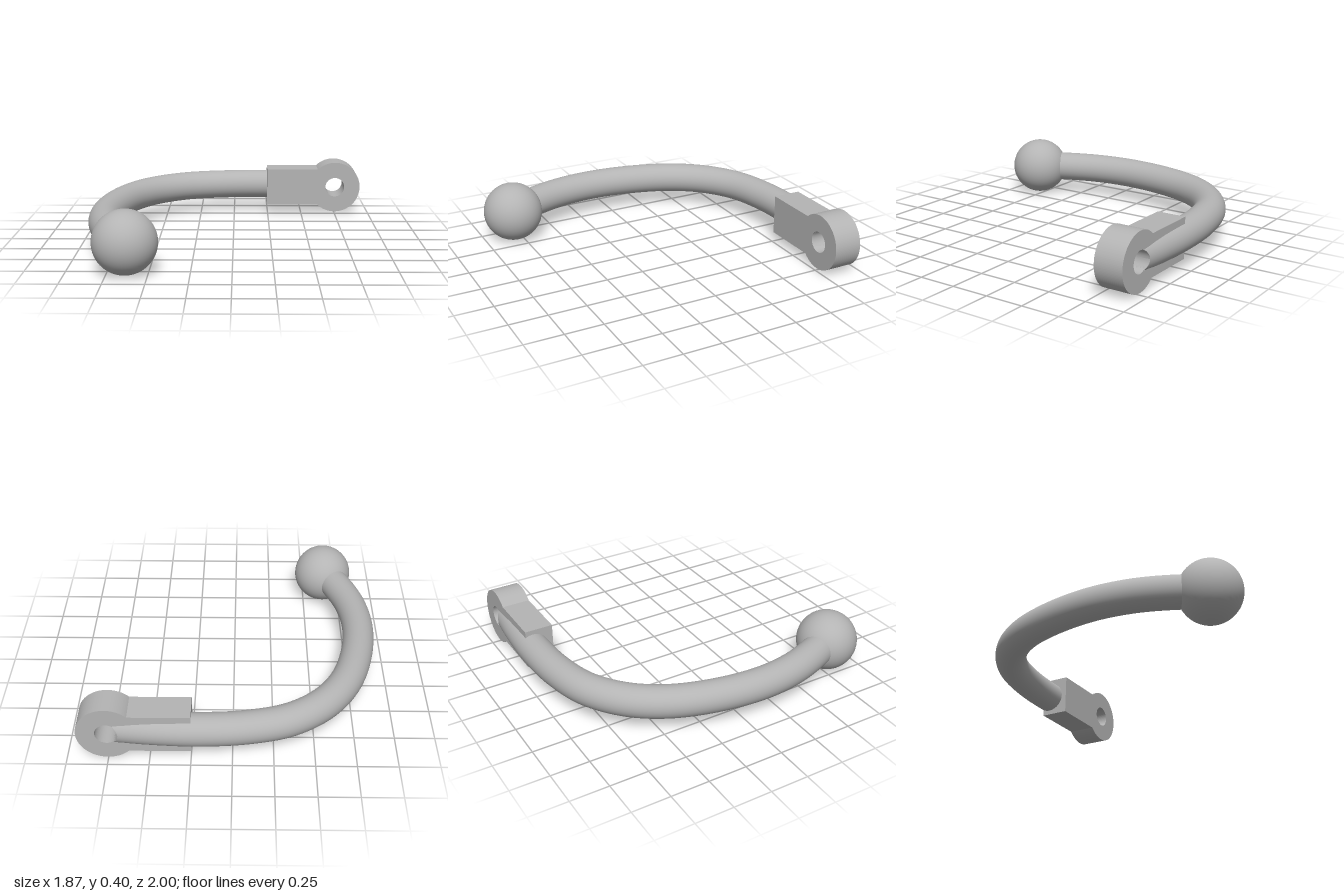
import * as THREE from 'three';

const grey = new THREE.MeshStandardMaterial({ color: 0xb4b4b4 });
grey.name = 'grey';

const MID = 0.2;        // height of the whole centreline
const ROD_R = 0.103;
const EYE_X = 0.75, EYE_R = 0.185, HOLE_R = 0.07;

function add(group, name, geometry) {
  const mesh = new THREE.Mesh(geometry, grey);
  mesh.name = name;
  group.add(mesh);
  return mesh;
}

// x of the rod's end face, notched by the pin hole
function endX(y) {
  const d = y - MID;
  const x = Math.abs(d) < HOLE_R ? EYE_X - Math.sqrt(HOLE_R ** 2 - d * d) : EYE_X;
  return Math.min(x, 0.71);
}

export function createModel() {
  const model = new THREE.Group();
  model.name = 'hookedRod';

  // Ball on the free end
  add(model, 'ball', new THREE.SphereGeometry(0.198, 48, 32)).position.set(-0.635, MID, 0.802);

  // Curved rod, lying flat
  const path = new THREE.CatmullRomCurve3([
    [-0.635, 0.8], [-0.715, 0.65], [-0.803, 0.4], [-0.834, 0.13], [-0.797, -0.18], [-0.703, -0.455],
    [-0.558, -0.657], [-0.343, -0.806], [-0.077, -0.876], [0.22, -0.897], [0.48, -0.886], [0.68, -0.866],
  ].map(([x, z]) => new THREE.Vector3(x, MID, z)));
  const segments = 96, sides = 40;
  const rod = new THREE.TubeGeometry(path, segments, ROD_R, sides);
  const p = rod.attributes.position;
  for (let i = segments * (sides + 1); i < p.count; i++) p.setX(i, endX(p.getY(i)));
  add(model, 'rod', rod);

  // End face of the rod, following the hole
  const cap = new THREE.RingGeometry(0.001, ROD_R, sides, 8);
  cap.rotateY(Math.PI / 2).translate(0, MID, -0.866);
  const c = cap.attributes.position;
  for (let i = 0; i < c.count; i++) c.setX(i, endX(c.getY(i)));
  cap.computeVertexNormals();
  add(model, 'rodEnd', cap);

  // Flat bracket with a round eye and a pin hole
  const half = 0.133, a = Math.asin(half / EYE_R);
  const outline = new THREE.Shape();
  outline.moveTo(0.246, MID - half);
  outline.lineTo(EYE_X - EYE_R * Math.cos(a), MID - half);
  outline.absarc(EYE_X, MID, EYE_R, -Math.PI + a, Math.PI - a, false);
  outline.lineTo(0.246, MID + half);
  outline.closePath();
  const hole = new THREE.Path();
  hole.absarc(EYE_X, MID, HOLE_R, 0, Math.PI * 2, true);
  outline.holes.push(hole);
  const bracket = new THREE.ExtrudeGeometry(outline, { depth: 0.187, bevelEnabled: false, curveSegments: 48 });
  add(model, 'eyeBracket', bracket).position.z = -0.947;

  return model;
}
